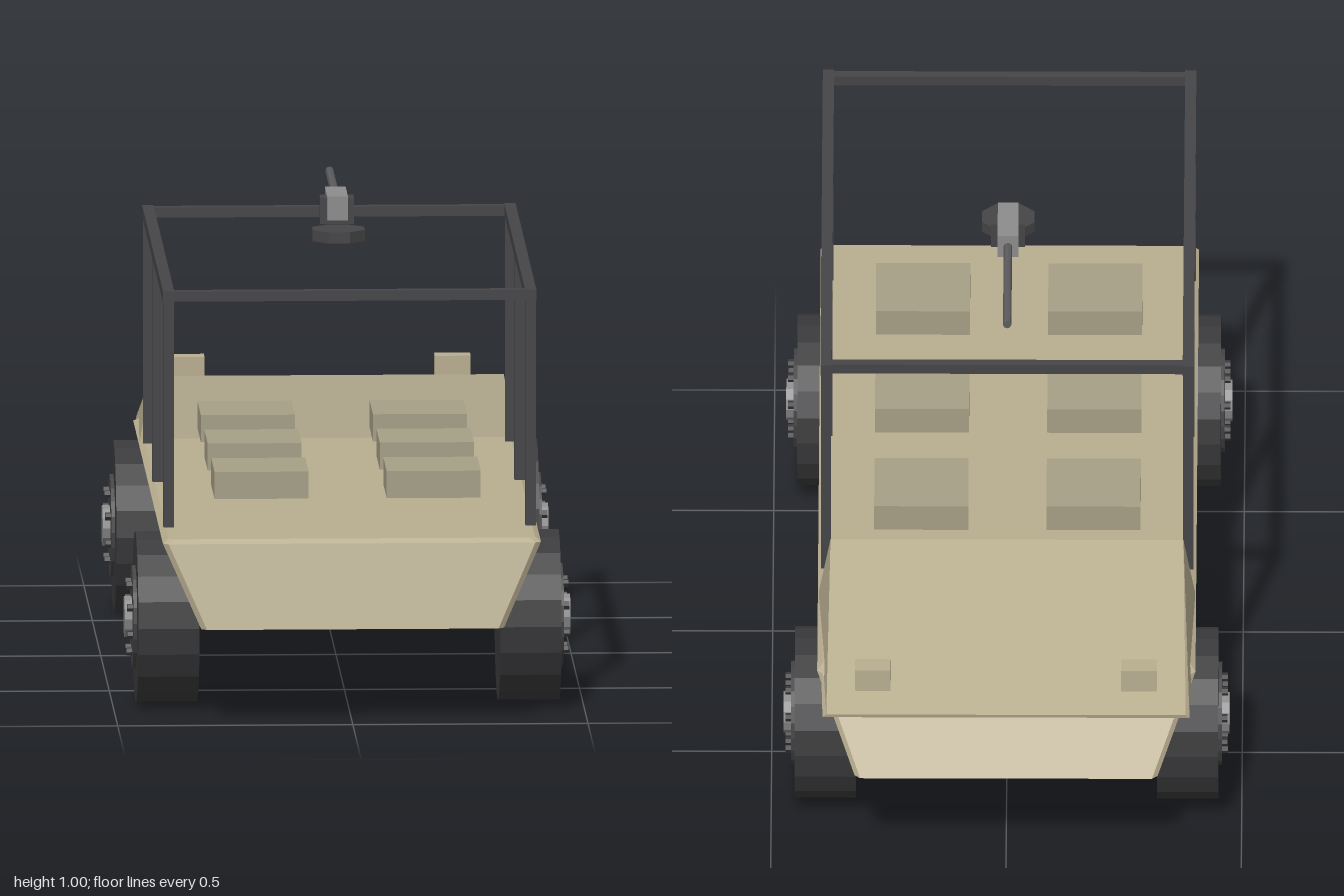
import * as THREE from 'three';

const paint = (color) => new THREE.MeshStandardMaterial({ color, flatShading: true });

export function createModel() {
  const model = new THREE.Group();
  const tan = paint(0xb8ae90), seatTan = paint(0xa69f86), dark = paint(0x454547), black = paint(0x3a3a3c), steel = paint(0x8c8c8c);

  const add = (name, geo, mat, x = 0, y = 0, z = 0, parent = model) => {
    const mesh = new THREE.Mesh(geo, mat);
    mesh.name = name;
    mesh.position.set(x, y, z);
    parent.add(mesh);
    return mesh;
  };
  // box given by its centre and size
  const box = (name, mat, x, y, z, w, h, d, parent) => add(name, new THREE.BoxGeometry(w, h, d), mat, x, y, z, parent);

  // closed solid from stacked rings, each anticlockwise seen from above
  const loft = (rings) => {
    const n = rings[0].length, index = [], last = (rings.length - 1) * n;
    for (let r = 0; r < rings.length - 1; r++) {
      for (let i = 0; i < n; i++) {
        const a = r * n + i, b = r * n + (i + 1) % n;
        index.push(a, b, b + n, a, b + n, a + n);
      }
    }
    for (let i = 1; i < n - 1; i++) index.push(0, i + 1, i, last, last + i, last + i + 1);
    const geo = new THREE.BufferGeometry();
    geo.setAttribute('position', new THREE.Float32BufferAttribute(rings.flat(2), 3));
    geo.setIndex(index);
    const flat = geo.toNonIndexed();
    flat.computeVertexNormals();
    return flat;
  };

  // hull: tapered tub with small chamfers at the corners and top rim
  const hullRing = (y, w, back, front, c = 0.012) => [
    [w - c, y, front], [w, y, front - c], [w, y, back + c], [w - c, y, back],
    [c - w, y, back], [-w, y, back + c], [-w, y, front - c], [c - w, y, front],
  ];
  add('hull', loft([
    hullRing(0.205, 0.322, -0.955, 1.0),
    hullRing(0.383, 0.402, -0.82, 0.957),
    hullRing(0.392, 0.39, -0.8, 0.945),
  ]), tan);

  // wedge hood: wide base, narrower crest, thin overhanging lip
  const hoodRing = (yIn, zIn, wIn, yOut, zOut, wOut) => [
    [wIn, yIn, zIn], [wOut, yOut, zOut], [-wOut, yOut, zOut], [-wIn, yIn, zIn],
  ];
  add('hood', loft([
    hoodRing(0.386, -0.485, 0.4, 0.366, -0.972, 0.39),
    hoodRing(0.525, -0.5, 0.375, 0.374, -0.974, 0.382),
  ]), tan);

  // wheels with rim, hub and a ring of bolts
  const makeWheel = () => {
    const wheel = new THREE.Group();
    const disc = (name, r, x0, x1, sides, mat, y = 0, z = 0) => {
      const geo = new THREE.CylinderGeometry(r, r, x1 - x0, sides).rotateZ(Math.PI / 2);
      add(name, geo, mat, (x0 + x1) / 2, y, z, wheel);
    };
    disc('tyre', 0.183, 0.32, 0.45, 20, black);
    disc('rim', 0.11, 0.44, 0.458, 20, dark);
    disc('hub', 0.044, 0.45, 0.474, 12, steel);
    for (let i = 0; i < 8; i++) {
      const a = (i + 0.5) * Math.PI / 4;
      disc('bolt', 0.009, 0.45, 0.47, 6, black, 0.077 * Math.sin(a), 0.077 * Math.cos(a));
    }
    return wheel;
  };
  for (const z of [0.655, -0.643]) {
    for (const side of [1, -1]) {
      const wheel = makeWheel();
      wheel.name = side > 0 ? 'leftWheel' : 'rightWheel';
      wheel.rotation.y = side > 0 ? 0 : Math.PI;
      wheel.position.set(0, 0.183, z);
      model.add(wheel);
    }
  }

  for (const side of [1, -1]) {
    // seats
    for (const z of [-0.217, 0.187, 0.593]) box('seat', seatTan, side * 0.183, 0.469, z, 0.2, 0.058, 0.2);
    // lamps
    box('lamp', tan, side * 0.283, 0.472, -0.974, 0.076, 0.05, 0.048);
    // cage posts and long rails
    for (const z of [0.8, 0.153, -0.397]) box('cagePost', dark, side * 0.385, 0.645, z, 0.022, 0.495, 0.022);
    box('cageSideRail', dark, side * 0.385, 0.893, 0.198, 0.024, 0.024, 1.23);
  }
  for (const z of [0.797, -0.4]) box('cageCrossBar', dark, 0, 0.893, z, 0.79, 0.022, 0.022);

  // roof gun: mount, receiver, side block, barrel
  const gun = new THREE.Group();
  gun.name = 'roofGun';
  model.add(gun);
  add('gunMount', new THREE.CylinderGeometry(0.06, 0.06, 0.024, 8).rotateY(Math.PI / 8), dark, 0, 0.926, 0.148, gun);
  box('gunReceiver', steel, 0, 0.974, 0.033, 0.044, 0.052, 0.138, gun);
  box('gunSideBlock', dark, 0, 0.964, 0.048, 0.072, 0.056, 0.046, gun);
  add('gunBarrel', new THREE.CylinderGeometry(0.009, 0.009, 0.325, 8).rotateX(Math.PI / 2), paint(0x5c5c5e), 0, 0.983, -0.214, gun);

  return model;
}
